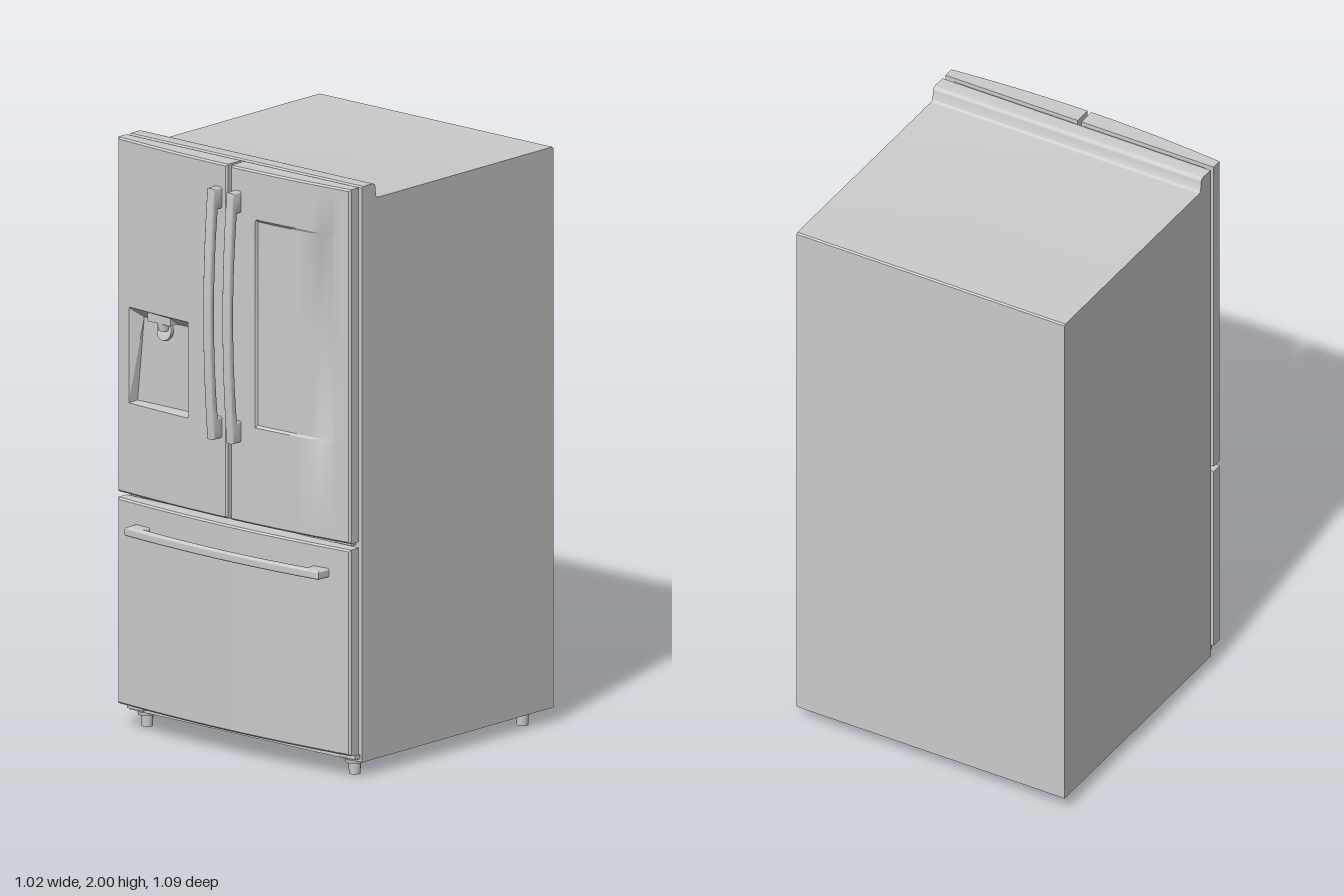
import * as THREE from 'three';
import { toCreasedNormals } from 'three/addons/utils/BufferGeometryUtils.js';

const W = 0.51;          // half width of the cabinet
const BACK = 0.415;      // rear plane of the doors
const bow = (x) => 0.485 - 0.026 * (x / W) ** 2; // bowed front in plan

const material = new THREE.MeshStandardMaterial({ color: 0xcccccc });

function add(group, name, geometry, x = 0, y = 0, z = 0) {
  const mesh = new THREE.Mesh(geometry, material);
  mesh.name = name;
  mesh.position.set(x, y, z);
  group.add(mesh);
  return mesh;
}

// Grid lines through all breaks, with long spans subdivided
function gridLines(breaks, step) {
  const out = [breaks[0]];
  for (let i = 1; i < breaks.length; i++) {
    const a = breaks[i - 1], b = breaks[i];
    const n = Math.max(1, Math.ceil((b - a) / step));
    for (let k = 1; k <= n; k++) out.push(a + ((b - a) * k) / n);
  }
  return out;
}

// Bowed slab with eased front edges; recess = { x: [4 lines], y: [4 lines], place(p) }
function doorGeometry(x0, x1, y0, y1, recess) {
  const e = 0.006;
  const xs = gridLines([x0, x0 + e, ...(recess ? recess.x : []), x1 - e, x1], 0.045);
  const ys = gridLines([y0, y0 + e, ...(recess ? recess.y : []), y1 - e, y1], 0.4);
  const nx = xs.length - 1, ny = ys.length - 1;
  const geo = new THREE.BoxGeometry(1, 1, 1, nx, ny, 1);
  const pos = geo.attributes.position;
  const p = new THREE.Vector3();
  for (let i = 0; i < pos.count; i++) {
    p.fromBufferAttribute(pos, i);
    const ix = Math.round((p.x + 0.5) * nx), iy = Math.round((p.y + 0.5) * ny);
    const front = p.z > 0;
    p.set(xs[ix], ys[iy], front ? bow(xs[ix]) : BACK);
    if (front) {
      if (ix === 0 || ix === nx || iy === 0 || iy === ny) p.z -= e;
      const inside = recess
        && p.x > recess.x[0] + 1e-4 && p.x < recess.x[3] - 1e-4
        && p.y > recess.y[0] + 1e-4 && p.y < recess.y[3] - 1e-4;
      if (inside) recess.place(p);
    }
    pos.setXYZ(i, p.x, p.y, p.z);
  }
  return toCreasedNormals(geo, 0.5);
}

// Bowed bar with a foot at each end, along x, standing out towards +z
function handleGeometry(half, foot, width, zRoot, zEnd, zMid) {
  const b = 0.007, h = half - b;
  const inner = half - foot + b;
  const s = new THREE.Shape();
  s.moveTo(-h, zRoot);
  s.lineTo(-inner, zRoot);
  s.lineTo(-inner, zEnd - 0.017);
  s.quadraticCurveTo(0, 2 * (zMid - 0.018) - zEnd + 0.017, inner, zEnd - 0.017);
  s.lineTo(inner, zRoot);
  s.lineTo(h, zRoot);
  s.lineTo(h, zEnd - b);
  s.quadraticCurveTo(0, 2 * (zMid - b) - zEnd + b, -h, zEnd - b);
  const geo = new THREE.ExtrudeGeometry(s, {
    depth: width - 2 * b, bevelEnabled: true, bevelSize: b, bevelThickness: b,
    bevelSegments: 3, curveSegments: 20,
  });
  geo.translate(0, 0, b - width / 2);
  geo.rotateX(Math.PI / 2);
  return toCreasedNormals(geo, 0.7);
}

export function createModel() {
  const model = new THREE.Group();
  model.name = 'refrigerator';

  // Cabinet: side profile (z, y) with the raised hinge rail at the front of the top
  const side = new THREE.Shape();
  side.moveTo(-0.54, 0.05);
  side.lineTo(0.4, 0.05);
  side.lineTo(0.4, 1.995);
  side.lineTo(0.395, 2);
  side.lineTo(0.348, 2);
  side.quadraticCurveTo(0.336, 1.998, 0.335, 1.985);
  side.lineTo(0.332, 1.958);
  side.quadraticCurveTo(0.33, 1.95, 0.318, 1.949);
  side.lineTo(-0.535, 1.949);
  side.lineTo(-0.54, 1.944);
  const cabinet = new THREE.ExtrudeGeometry(side, { depth: 2 * W, bevelEnabled: false, curveSegments: 6 });
  cabinet.translate(0, 0, -W);
  cabinet.rotateY(-Math.PI / 2);
  add(model, 'cabinet', toCreasedNormals(cabinet, 0.6));

  // Door seals
  for (const [name, x0, x1, y0, y1] of [
    ['rightDoorSeal', -0.48, -0.015, 0.815, 1.985],
    ['leftDoorSeal', 0.015, 0.48, 0.815, 1.985],
    ['drawerSeal', -0.48, 0.48, 0.095, 0.765],
  ]) {
    add(model, name, new THREE.BoxGeometry(x1 - x0, y1 - y0, 0.02), (x0 + x1) / 2, (y0 + y1) / 2, 0.407);
  }

  // Right door with a tapered dispenser niche
  const niche = {
    x: [-0.455, -0.452, -0.183, -0.18],
    y: [1.11, 1.113, 1.432, 1.435],
    place(p) {
      const t = (p.y - 1.11) / 0.325, cx = -0.3175;
      p.x = cx + (p.x - cx) * (1 - 0.22 * t);
      p.y -= 0.033 * t;
      p.z = 0.425;
    },
  };
  add(model, 'rightDoor', doorGeometry(-W, -0.007, 0.8, 2, niche));

  // Left door with a shallow framed panel
  const panel = {
    x: [0.115, 0.12, 0.435, 0.445],
    y: [1.13, 1.138, 1.827, 1.835],
    place(p) { p.z -= 0.008 * (1 - 0.6 * (p.x - 0.12) / 0.315); },
  };
  add(model, 'leftDoor', doorGeometry(0.007, W, 0.8, 2, panel));

  // Freezer drawer
  add(model, 'freezerDrawer', doorGeometry(-W, W, 0.082, 0.78));

  // Dispenser head, nozzle and paddle
  const dispenser = new THREE.Group();
  dispenser.name = 'dispenser';
  dispenser.position.x = -0.318;
  model.add(dispenser);
  add(dispenser, 'dispenserHead', new THREE.BoxGeometry(0.1, 0.03, 0.045), 0, 1.418, 0.447);
  add(dispenser, 'nozzle', new THREE.CylinderGeometry(0.022, 0.018, 0.03, 16), 0, 1.392, 0.447);
  const paddle = add(dispenser, 'paddle', new THREE.CylinderGeometry(0.031, 0.031, 0.012, 20), 0, 1.371, 0.44);
  paddle.rotation.x = Math.PI / 2 - 0.25;

  // Handles
  const upright = handleGeometry(0.425, 0.073, 0.032, 0.477, 0.525, 0.545);
  upright.rotateZ(Math.PI / 2);
  for (const [name, x] of [['rightDoorHandle', -0.045], ['leftDoorHandle', 0.039]]) {
    add(model, name, upright, x, 1.495, 0);
  }
  add(model, 'drawerHandle', handleGeometry(0.425, 0.068, 0.03, 0.465, 0.52, 0.541), 0, 0.69, 0);

  // Hinges between doors and drawer and under the drawer, and levelling feet
  for (const sx of [-1, 1]) {
    add(model, 'middleHinge', new THREE.BoxGeometry(0.07, 0.01, 0.03), sx * 0.448, 0.788, 0.408);
    add(model, 'lowerHinge', new THREE.BoxGeometry(0.07, 0.014, 0.03), sx * 0.465, 0.068, 0.408);
    for (const z of [0.375, -0.45]) {
      const foot = new THREE.Group();
      foot.name = 'foot';
      foot.position.set(sx * 0.455, 0, z);
      model.add(foot);
      add(foot, 'footStem', new THREE.CylinderGeometry(0.021, 0.019, 0.045, 16), 0, 0.0225, 0);
      add(foot, 'footCollar', new THREE.CylinderGeometry(0.032, 0.03, 0.012, 16), 0, 0.045, 0);
    }
  }

  return model;
}
